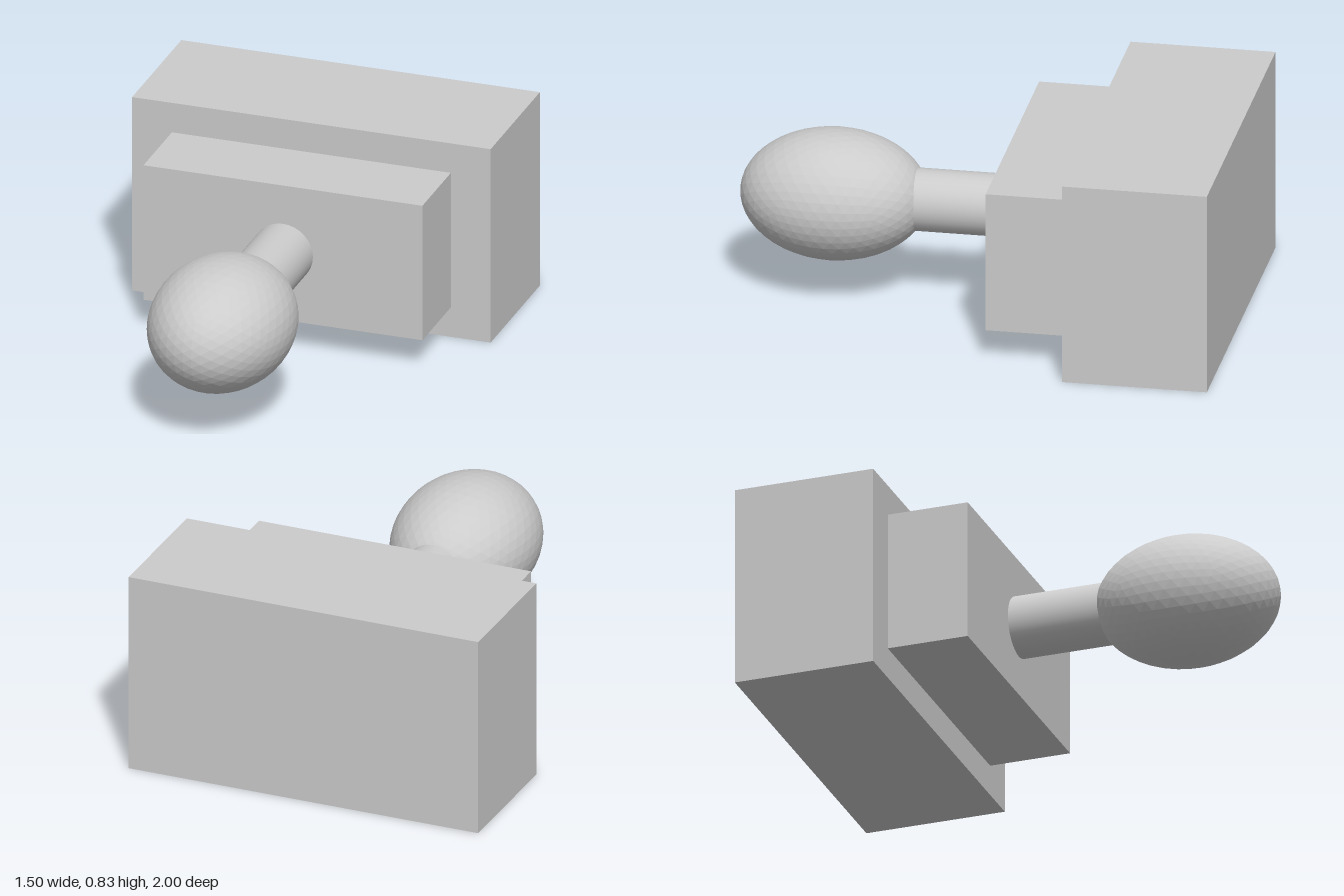
import * as THREE from 'three';

const AXIS_Y = 0.417; // height of the shared centre line

export function createModel() {
  const model = new THREE.Group();
  const smooth = new THREE.MeshStandardMaterial({ color: 0xcccccc });
  const faceted = new THREE.MeshStandardMaterial({ color: 0xcccccc, flatShading: true });

  function add(name, geometry, material, z) {
    const mesh = new THREE.Mesh(geometry, material);
    mesh.name = name;
    mesh.position.set(0, AXIS_Y, z);
    model.add(mesh);
  }

  // Block spanning zBack..zFront
  function addBlock(name, width, height, zBack, zFront) {
    add(name, new THREE.BoxGeometry(width, height, zFront - zBack), faceted, (zBack + zFront) / 2);
  }

  // Stepped base: large rear block and smaller front block
  addBlock('rearBlock', 1.496, 0.834, -1, -0.42);
  addBlock('frontBlock', 1.164, 0.58, -0.42, -0.085);

  // Round neck, running a little way into the knob
  const neckBack = -0.085, neckFront = 0.4;
  const neck = new THREE.CylinderGeometry(0.125, 0.125, neckFront - neckBack, 32);
  neck.rotateX(Math.PI / 2);
  add('neck', neck, smooth, (neckBack + neckFront) / 2);

  // Egg-shaped faceted knob
  const knob = new THREE.IcosahedronGeometry(1, 7);
  knob.scale(0.288, 0.26, 0.375);
  add('knob', knob, faceted, 0.625);

  return model;
}
